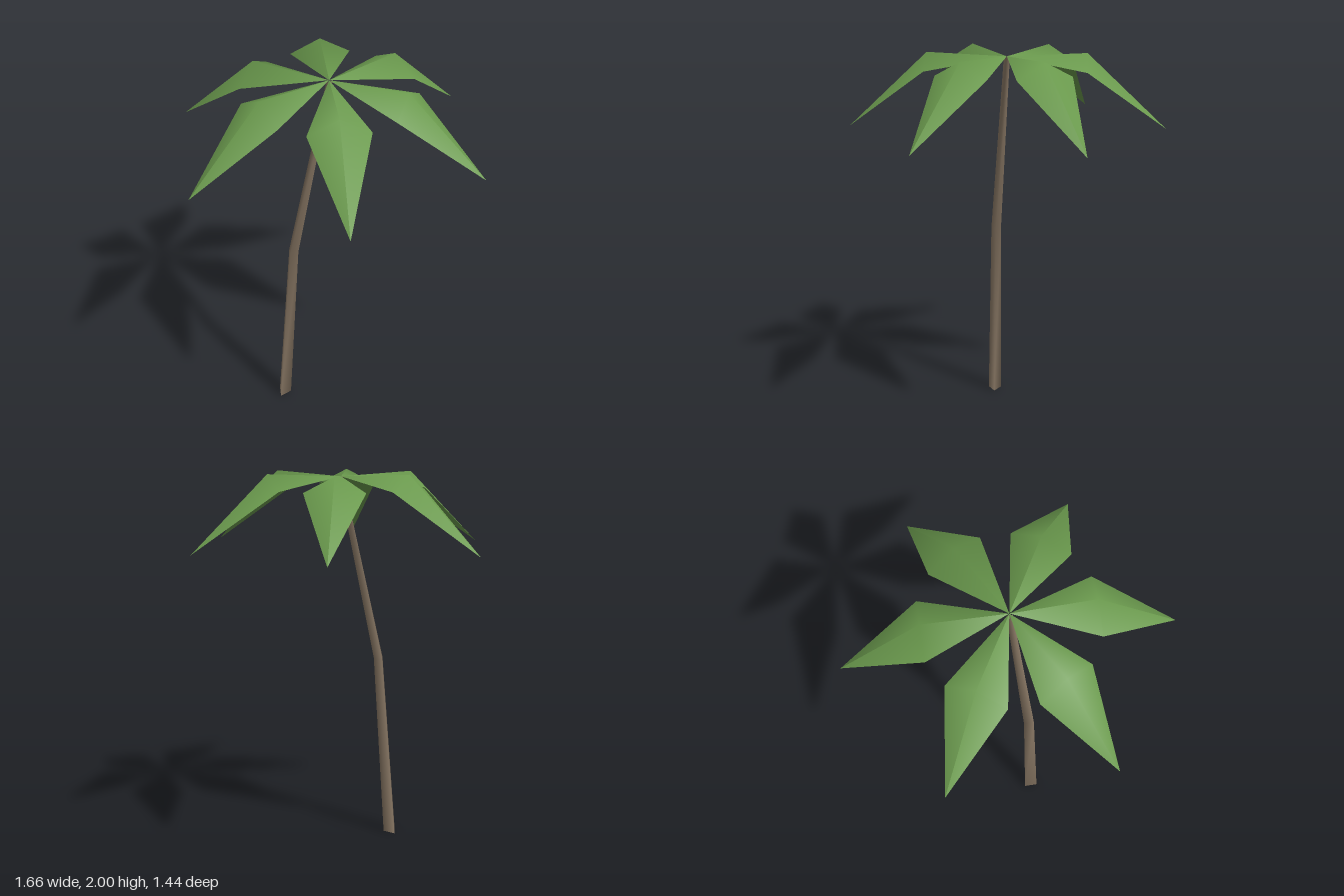
import * as THREE from 'three';
import { mergeVertices } from 'three/addons/utils/BufferGeometryUtils.js';

const bark = new THREE.MeshStandardMaterial({ color: 0x877663 });
bark.name = 'bark brown';
const leafGreen = new THREE.MeshStandardMaterial({ color: 0x6a994d, side: THREE.DoubleSide });
leafGreen.name = 'leaf green';

// Trunk rings from base to crown: centre x, y, z and radius
const RINGS = [
  [-0.282, 0, -0.062, 0.041],
  [-0.213, 1.0, -0.04, 0.031],
  [0, 1.98, 0, 0.018],
];

// Three-sided tube, bent through the rings
function trunkGeometry() {
  let geo = new THREE.CylinderGeometry(1, 1, 2, 3, 2, true).rotateY(Math.PI);
  const p = geo.attributes.position;
  for (let i = 0; i < p.count; i++) {
    const [x, y, z, r] = RINGS[Math.round(p.getY(i)) + 1];
    p.setXYZ(i, x + p.getX(i) * r, y, z + p.getZ(i) * r);
  }
  geo.deleteAttribute('uv');
  geo.deleteAttribute('normal');
  geo = mergeVertices(geo);
  geo.computeVertexNormals();
  return geo;
}

// Folded diamond leaf along +x; the halves share only the ridge point
function frondGeometry() {
  const root = [0, 1.98, 0], tip = [0.83, 1.61, 0];
  const points = [
    root, root, [0.415, 2, 0],
    [0.415, 1.92, 0.155], [0.415, 1.92, -0.155],
    tip, tip,
  ];
  const geo = new THREE.BufferGeometry();
  geo.setAttribute('position', new THREE.Float32BufferAttribute(points.flat(), 3));
  geo.setIndex([0, 3, 2, 3, 5, 2, 1, 2, 4, 2, 6, 4]);
  geo.computeVertexNormals();
  return geo;
}

export function createModel() {
  const palm = new THREE.Group();
  palm.name = 'palmTree';

  const trunk = new THREE.Mesh(trunkGeometry(), bark);
  trunk.name = 'trunk';
  palm.add(trunk);

  // Base cap, facing down
  const [x, y, z, r] = RINGS[0];
  const cap = new THREE.Mesh(new THREE.CircleGeometry(r, 3, -Math.PI / 2).rotateX(Math.PI / 2), bark);
  cap.scale.z = 1;
  cap.rotation.y = 0;
  cap.position.set(x, y, z);
  cap.name = 'trunkBase';
  palm.add(cap);

  // Crown of six fronds
  const crown = new THREE.Group();
  crown.name = 'crown';
  const frond = frondGeometry();
  for (let i = 0; i < 6; i++) {
    const leaf = new THREE.Mesh(frond, leafGreen);
    leaf.name = 'frond' + (i + 1);
    leaf.rotation.y = (i * Math.PI) / 3;
    crown.add(leaf);
  }
  palm.add(crown);
  return palm;
}
